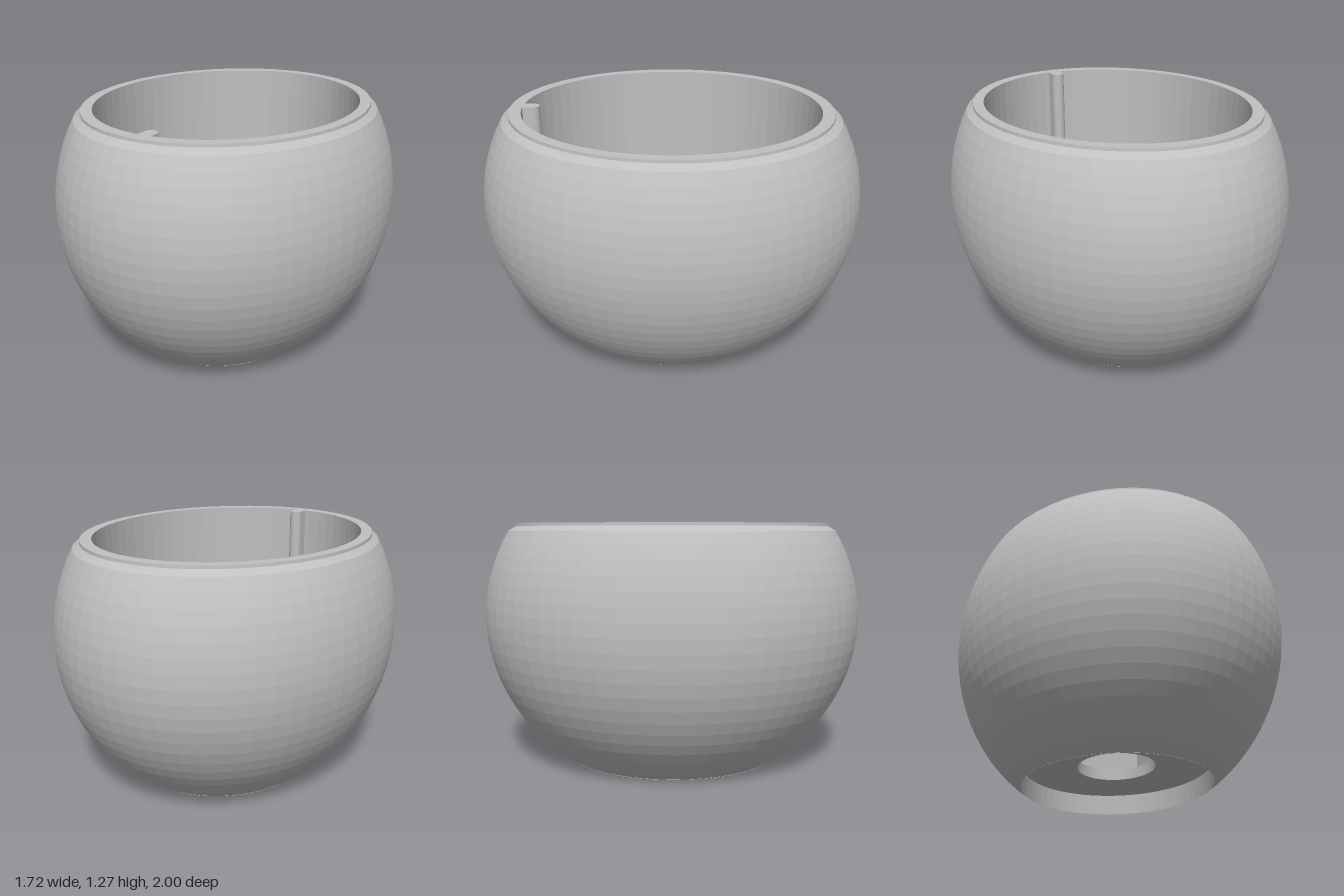
import * as THREE from 'three';

const SX = 0.86; // the body is narrower in x than in z

export function createModel() {
  const group = new THREE.Group();
  const grey = new THREE.MeshStandardMaterial({ color: 0xc0c0c0, flatShading: true });
  grey.name = 'grey';

  const add = (geometry, name) => {
    const mesh = new THREE.Mesh(geometry, grey);
    mesh.name = name;
    group.add(mesh);
  };

  // plan outlines, drawn in x and z
  const oval = (Type, r) => new Type().absellipse(0, 0, r * SX, r, 0, Math.PI * 2);
  const rect = (Type, x, z0, z1) => {
    const p = new Type();
    p.moveTo(-x, z0).lineTo(x, z0).lineTo(x, z1).lineTo(-x, z1).closePath();
    return p;
  };
  // horizontal slab from a plan outline
  const slab = (shape, y0, y1) =>
    new THREE.ExtrudeGeometry(shape, { depth: y1 - y0, bevelEnabled: false, curveSegments: 32 })
      .rotateX(Math.PI / 2).translate(0, y1, 0);

  const rimY = 1.27, floorY = 0.4, cavityR = 0.767;
  const recessY = 0.11, pocketY = 0.17;

  // outer shell: recess wall, rounded side, rim and cavity wall
  const profile = [[0.56, recessY], [0.564, 0]];
  const centreY = 0.77, b = 0.932;
  const steps = 20;
  for (let i = 0; i <= steps; i++) {
    const a0 = Math.asin(-centreY / b), a1 = Math.asin(0.46 / b);
    const a = a0 + (a1 - a0) * i / steps;
    profile.push([Math.cos(a), centreY + b * Math.sin(a)]);
  }
  profile[2][1] = 0.001;
  profile.push([0.831, 1.255], [0.829, rimY], [cavityR, rimY], [cavityR, floorY]);
  const shell = new THREE.LatheGeometry(profile.map(([r, y]) => new THREE.Vector2(r, y)), 64);
  add(shell.scale(SX, 1, 1), 'shell');

  // base plate with the oval opening
  const plate = oval(THREE.Shape, 0.562);
  plate.holes.push(oval(THREE.Path, 0.232));
  add(slab(plate, recessY, pocketY), 'basePlate');

  // cavity floor around the pocket
  const floor = oval(THREE.Shape, cavityR);
  floor.holes.push(rect(THREE.Path, 0.3, -0.35, 0.64));
  add(new THREE.ShapeGeometry(floor, 32).rotateX(-Math.PI / 2)
    .scale(1, 1, -1).translate(0, floorY, 0), 'cavityFloor');
  const index = group.children[2].geometry.index;
  for (let i = 0; i < index.count; i += 3) { // restore winding after the mirror
    const t = index.getX(i);
    index.setX(i, index.getX(i + 1));
    index.setX(i + 1, t);
  }

  // pocket walls
  const frame = rect(THREE.Shape, 0.3, -0.35, 0.64);
  frame.holes.push(rect(THREE.Path, 0.24, -0.285, 0.61));
  add(slab(frame, pocketY, floorY), 'pocketWalls');

  // step and ramp at the front of the pocket
  add(new THREE.BoxGeometry(0.48, 0.03, 0.21).translate(0, pocketY + 0.015, 0.375), 'pocketStep');
  const ramp = new THREE.Shape();
  ramp.moveTo(-0.48, pocketY).lineTo(-0.48, 0.33).lineTo(-0.61, floorY).lineTo(-0.61, pocketY).closePath();
  add(new THREE.ExtrudeGeometry(ramp, { depth: 0.48, bevelEnabled: false })
    .rotateY(Math.PI / 2).translate(-0.24, 0, 0), 'pocketRamp');

  // rounded locating rib on the front of the cavity wall
  const rib = new THREE.Shape();
  rib.moveTo(0.035, 0.775).lineTo(-0.035, 0.775).lineTo(-0.035, 0.717);
  rib.absarc(0, 0.717, 0.035, Math.PI, Math.PI * 2, false);
  rib.closePath();
  add(slab(rib, 0.81, rimY), 'locatingRib');

  return group;
}
